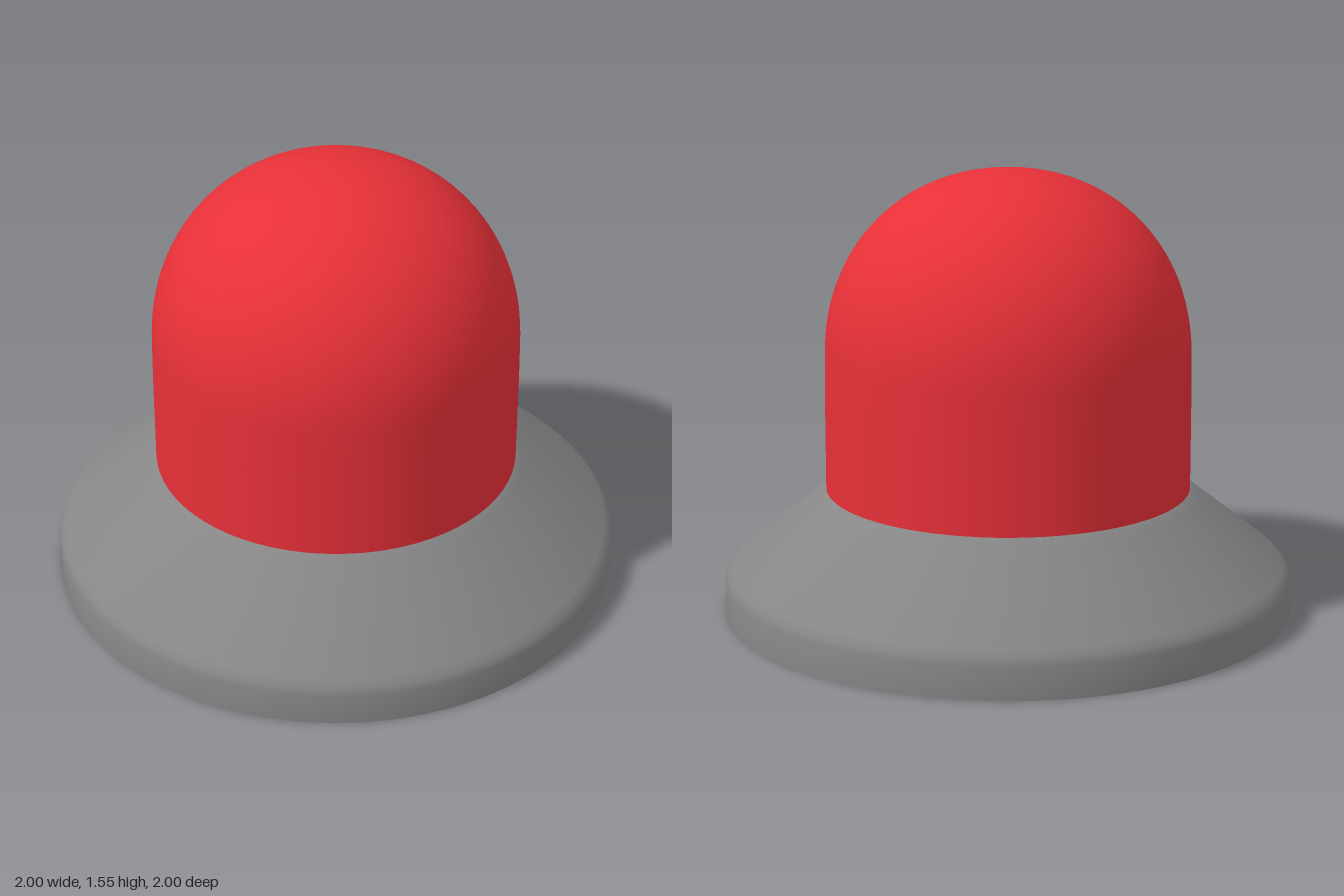
import * as THREE from 'three';
import { toCreasedNormals } from 'three/addons/utils/BufferGeometryUtils.js';

const SEGMENTS = 72;

function material(name, color) {
  const m = new THREE.MeshStandardMaterial({ color, side: THREE.DoubleSide });
  m.name = name;
  return m;
}

// Revolves a list of [radius, height] points, keeping hard edges sharp
function turned(name, points, mat) {
  const profile = points.map(([r, y]) => new THREE.Vector2(r, y));
  const geometry = toCreasedNormals(new THREE.LatheGeometry(profile, SEGMENTS), 0.5);
  const mesh = new THREE.Mesh(geometry, mat);
  mesh.name = name;
  return mesh;
}

// Quarter oval from the rim (radius rx) to the axis; power below 1 fills out the shoulder
function quarter(rx, ry, centreY, steps, power) {
  return Array.from({ length: steps + 1 }, (_, i) => {
    const a = (i / steps) * Math.PI / 2;
    const r = i === steps ? 0 : rx * Math.cos(a) ** power;
    return [r, centreY + ry * Math.sin(a) ** power];
  });
}

export function createModel() {
  const group = new THREE.Group();
  group.name = 'beaconLight';

  const red = material('red', 0xe73038);
  const grey = material('grey', 0x868686);
  const lightGrey = material('light grey', 0xe0e0e0);

  // Hollow flared base: collar round the bulb, inner cone, outer rim, slope and top ring
  group.add(turned('base', [
    [0.47, 0.428], [0.548, 0.427], [0.55, 0.4], [0.557, 0.375], [0.575, 0.35], [0.605, 0.32], [1, 0],
    [1, 0.115], [0.992, 0.138], [0.97, 0.163],
    [0.665, 0.405], [0.648, 0.42], [0.63, 0.43], [0.47, 0.43],
  ], grey));

  // Hollow domed lens with a nearly straight lower wall
  group.add(turned('dome', [
    [0.62, 0.431], [0.641, 0.431], [0.64, 0.75], ...quarter(0.638, 0.65, 0.9, 28, 0.95),
  ], red));

  // Flattened round bulb bulging down inside the base
  const bulb = new THREE.Mesh(new THREE.SphereGeometry(0.517, SEGMENTS, 32), lightGrey);
  bulb.name = 'bulb';
  bulb.scale.y = 0.377;
  bulb.position.y = 0.354;
  group.add(bulb);

  // Tapered open socket tube reaching down to the ground
  const socket = new THREE.Mesh(
    new THREE.CylinderGeometry(0.1, 0.13, 0.17, 48, 1, true), lightGrey);
  socket.name = 'socket';
  socket.position.y = 0.085;
  group.add(socket);

  return group;
}
